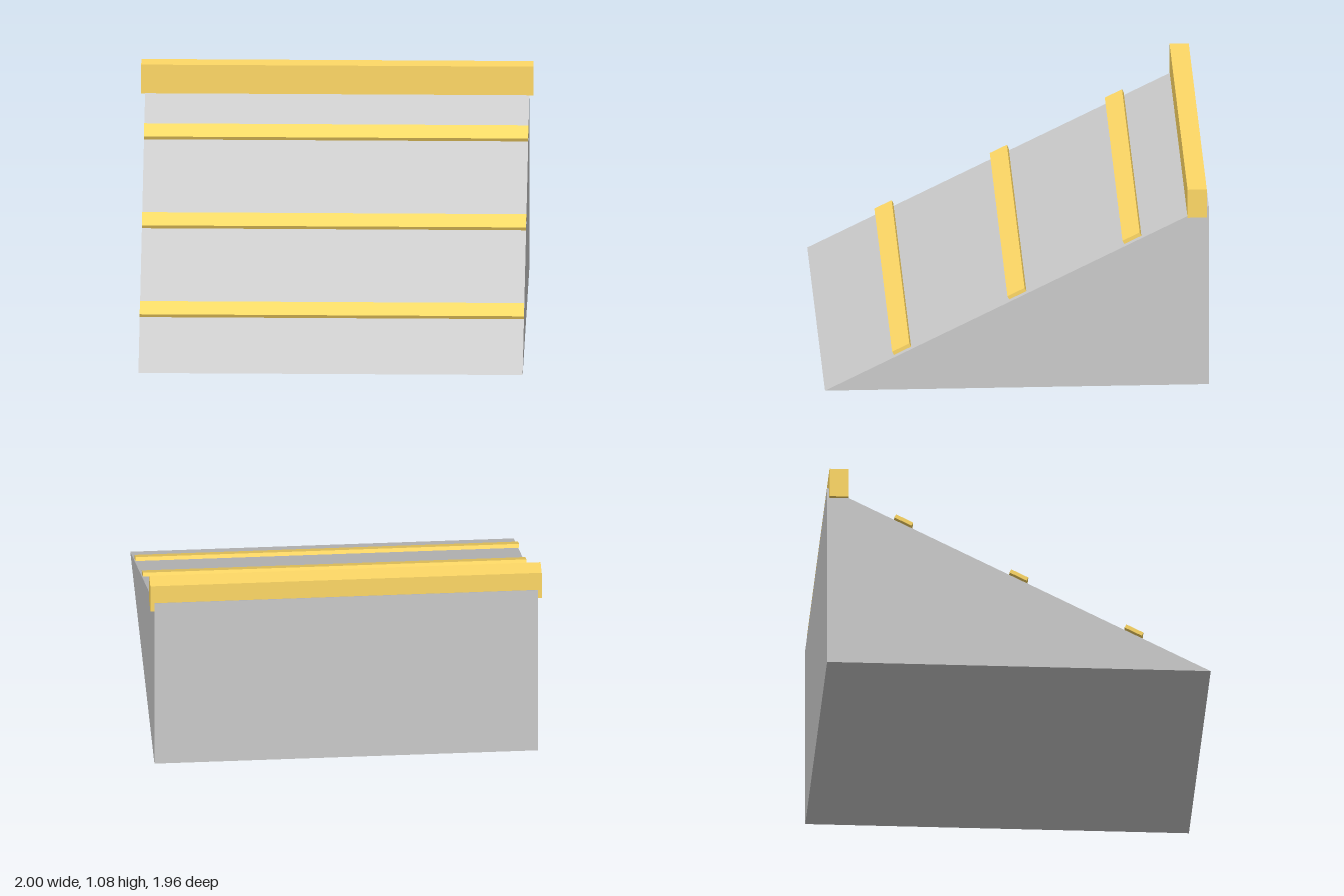
import * as THREE from 'three';

const HALF = 0.98;                 // half width and half depth of the ramp
const HEIGHT = 0.98;
const SLOPE = Math.atan2(HEIGHT, 2 * HALF);

export function createModel() {
  const model = new THREE.Group();
  model.name = 'ramp';
  const grey = new THREE.MeshStandardMaterial({ color: 0xcccccc, flatShading: true });
  const yellow = new THREE.MeshStandardMaterial({ color: 0xffd966, flatShading: true });

  const add = (name, geometry, material, y = 0, z = 0, tilt = 0) => {
    const mesh = new THREE.Mesh(geometry, material);
    mesh.name = name;
    mesh.position.set(0, y, z);
    mesh.rotation.x = tilt;
    model.add(mesh);
  };

  // Solid wedge: side triangle extruded across the width
  const side = new THREE.Shape([
    new THREE.Vector2(-HALF, 0),
    new THREE.Vector2(HALF, 0),
    new THREE.Vector2(HALF, HEIGHT),
  ]);
  const wedge = new THREE.ExtrudeGeometry(side, { depth: 2 * HALF, bevelEnabled: false });
  wedge.translate(0, 0, -HALF).rotateY(Math.PI / 2);
  add('wedge', wedge, grey);

  // Grip strips hovering just above the slope
  const strip = new THREE.BoxGeometry(2 * HALF, 0.02, 0.098);
  for (const z of [0.588, 0, -0.588]) {
    const surface = (HALF - z) * Math.tan(SLOPE);
    add('gripStrip', strip, yellow, surface + 0.025, z, SLOPE);
  }

  // Rail along the top edge
  add('topRail', new THREE.BoxGeometry(2, 0.154, 0.098), yellow, 1.001, -0.92);

  return model;
}
